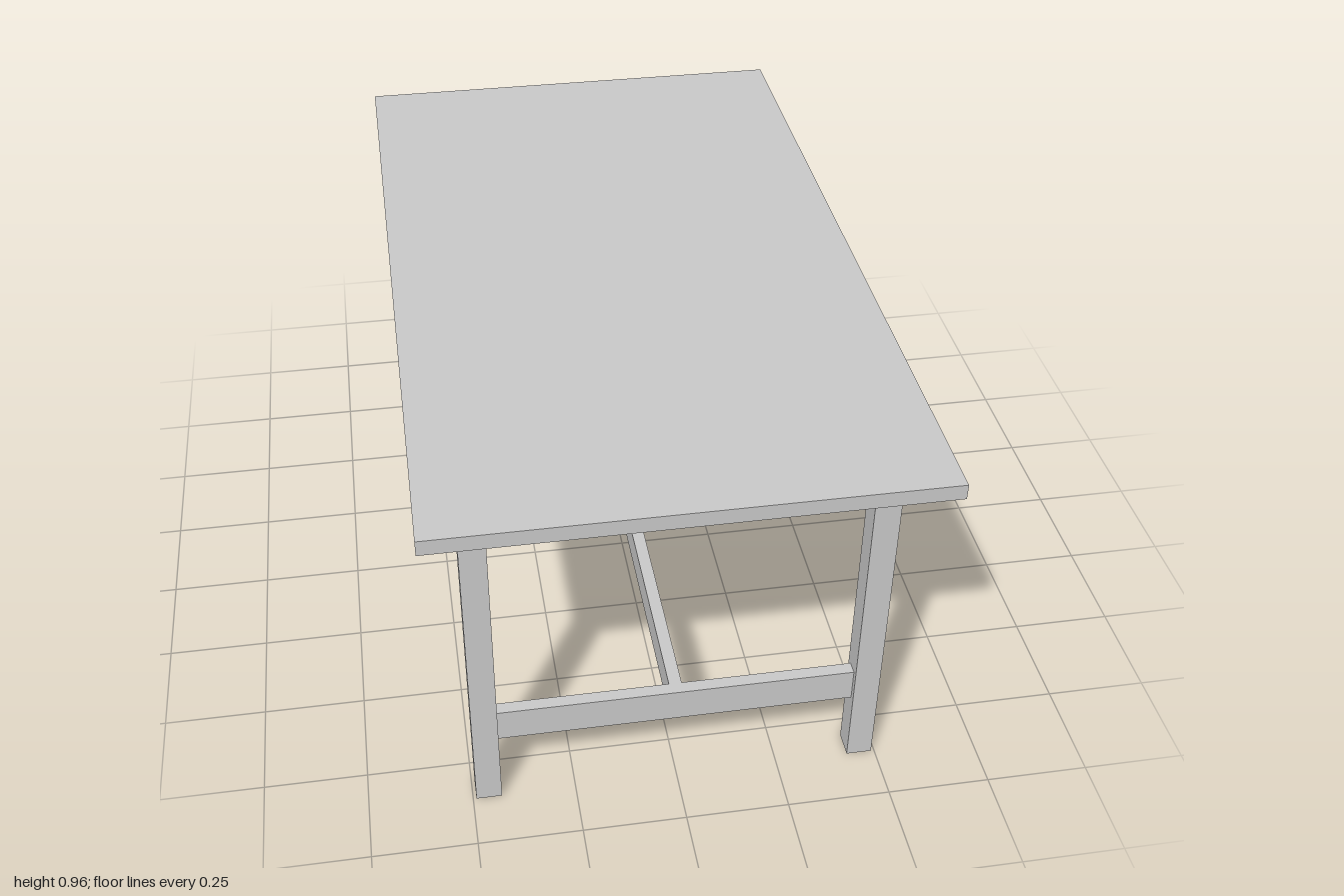
import * as THREE from 'three';

const material = new THREE.MeshStandardMaterial({ color: 0xcccccc });

// Leg section, leg centre lines, rail section
const LEG = 0.062, LEG_X = 0.461, LEG_Z = 0.834;
const TOP_Y = 0.918, RAIL_T = 0.031, RAIL_H = 0.086;

export function createModel() {
  const table = new THREE.Group();
  table.name = 'table';

  const box = (name, [w, h, d], [x, y, z]) => {
    const mesh = new THREE.Mesh(new THREE.BoxGeometry(w, h, d), material);
    mesh.name = name;
    mesh.position.set(x, y, z);
    table.add(mesh);
  };

  // Overhanging top
  box('tableTop', [1.16, 0.038, 2], [0, TOP_Y + 0.019, 0]);

  const apronY = TOP_Y - 0.002 - RAIL_H / 2;
  const stretcherY = 0.228;
  const endLength = 2 * LEG_X - LEG;
  const sideLength = 2 * LEG_Z - LEG;

  for (const s of [-1, 1]) {
    // Pair of legs at each end
    for (const t of [-1, 1]) {
      box('leg', [LEG, TOP_Y, LEG], [t * LEG_X, TOP_Y / 2, s * LEG_Z]);
    }
    // Rails centred on the legs
    box('endApron', [endLength, RAIL_H, RAIL_T], [0, apronY, s * LEG_Z]);
    box('endStretcher', [endLength, RAIL_H, RAIL_T], [0, stretcherY, s * LEG_Z]);
    box('sideApron', [RAIL_T, RAIL_H, sideLength], [s * LEG_X, apronY, 0]);
  }

  // Long stretcher joining the two end stretchers
  box('centreStretcher', [RAIL_T, RAIL_H, 2 * LEG_Z - RAIL_T], [0, stretcherY, 0]);

  return table;
}
